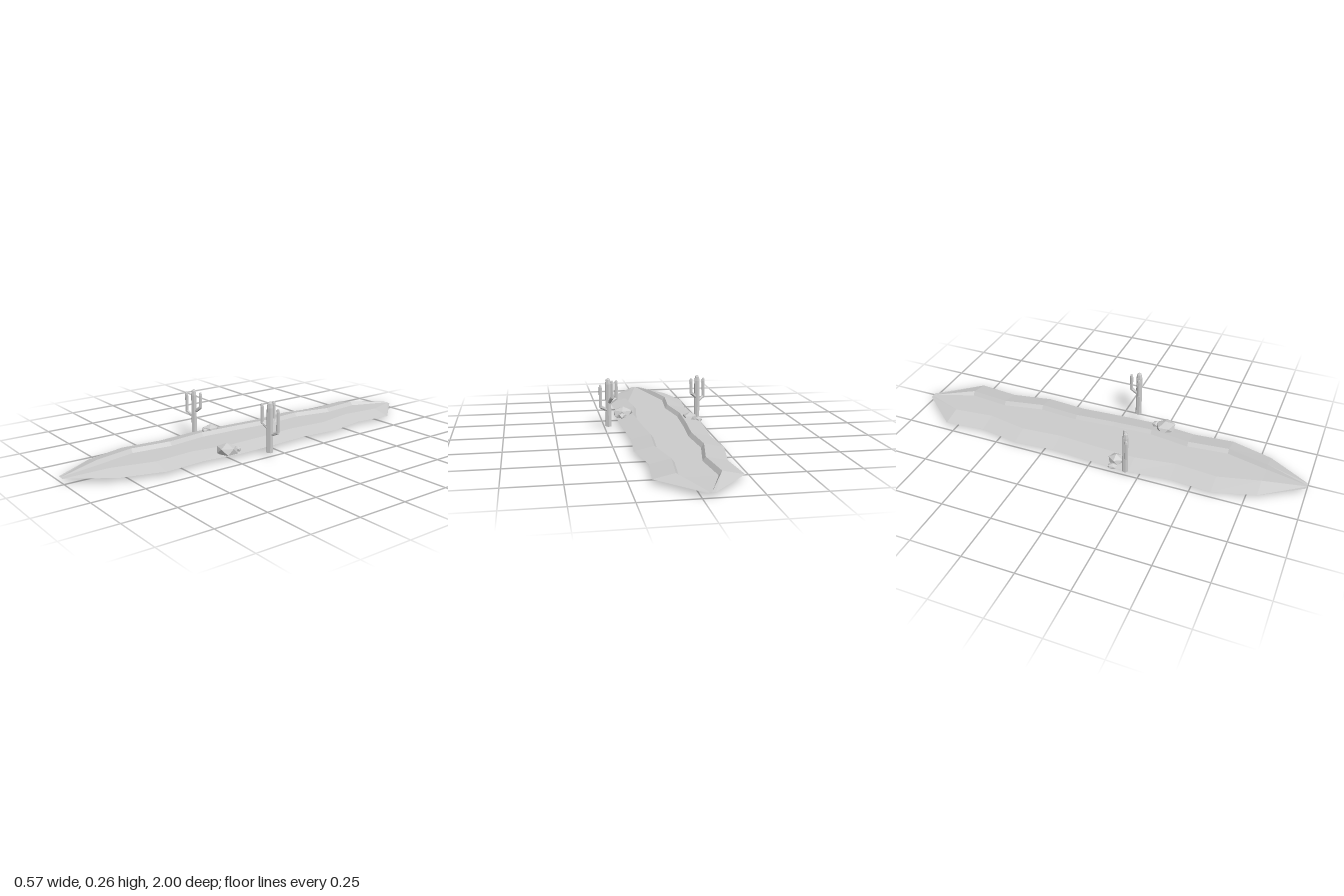
import * as THREE from 'three';

const stone = new THREE.MeshStandardMaterial({ color: 0xcccccc, flatShading: true, side: THREE.DoubleSide });
stone.name = 'pale grey';

function add(parent, name, geometry) {
  const mesh = new THREE.Mesh(geometry, stone);
  mesh.name = name;
  parent.add(mesh);
  return mesh;
}

// Ribbon of quads between two rows of points, running along +z
function ribbon(a, b) {
  const pos = [];
  for (let i = 0; i < a.length - 1; i++) {
    for (const p of [a[i], a[i + 1], b[i + 1], a[i], b[i + 1], b[i]]) pos.push(...p);
  }
  const g = new THREE.BufferGeometry();
  g.setAttribute('position', new THREE.Float32BufferAttribute(pos, 3));
  g.computeVertexNormals();
  return g;
}

// Dry wash: flat bed, short inner walls and sloping banks
function makeWash() {
  const wash = new THREE.Group();
  wash.name = 'dryWash';
  const mid = -0.032;
  const crest = [0.004, 0.094, 0.074, 0.113, 0.098, 0.113, 0.122, 0.094, 0.113, 0.064, 0.004];
  const outer = [0.019, 0.19, 0.17, 0.206, 0.19, 0.203, 0.21, 0.19, 0.206, 0.148, 0.019];
  const row = (side, widths, y, inset = 0) => widths.map((w, i) => {
    const end = i === 0 || i === 10;
    return [mid + side * Math.max(w - inset, 0.001), end ? 0.022 : y, -1 + i * 0.2];
  });
  const bedL = row(-1, crest, 0.021, 0.014), bedR = row(1, crest, 0.021, 0.014);
  const topL = row(-1, crest, 0.04), topR = row(1, crest, 0.04);
  add(wash, 'bed', ribbon(bedL, bedR));
  add(wash, 'rightWall', ribbon(topL, bedL));
  add(wash, 'leftWall', ribbon(bedR, topR));
  add(wash, 'rightBank', ribbon(row(-1, outer, 0.019), topL));
  add(wash, 'leftBank', ribbon(topR, row(1, outer, 0.019)));
  return wash;
}

// Six-sided upright stem with a tapered cap
function stem(r, y0, y1, cap) {
  const pts = [[0, y0], [r, y0], [r, y1 - cap], [r * 0.75, y1 - cap * 0.25], [r * 0.35, y1], [0, y1]];
  return new THREE.LatheGeometry(pts.map(p => new THREE.Vector2(...p)), 6);
}

// Cactus: trunk plus arms given as [dx, dz, joint y, elbow y, tip y]
function makeCactus(x, z, r, base, top, arms) {
  const cactus = new THREE.Group();
  cactus.name = 'cactus';
  cactus.position.set(x, 0, z);
  add(cactus, 'trunk', stem(r, base, top, 0.028));
  for (const [dx, dz, joint, elbow, tip] of arms) {
    const ar = 0.0088;
    const arm = add(cactus, 'arm', stem(ar, elbow - 0.003, tip, 0.016));
    arm.position.set(dx, 0, dz);
    const from = new THREE.Vector3(dx * 0.2, joint - 0.002, dz * 0.2);
    const to = new THREE.Vector3(dx, elbow, dz);
    const dir = to.clone().sub(from);
    const g = new THREE.CylinderGeometry(ar, ar * 0.9, dir.length(), 6);
    const link = add(cactus, 'armJoint', g);
    link.position.copy(from).add(to).multiplyScalar(0.5);
    link.quaternion.setFromUnitVectors(new THREE.Vector3(0, 1, 0), dir.normalize());
  }
  return cactus;
}

// Faceted boulder: icosahedron with a vertex up, gently dented
function makeRock(x, y, z, w, h, d, turn) {
  const g = new THREE.IcosahedronGeometry(1, 0);
  g.rotateX(-1.0172);
  const p = g.attributes.position;
  for (let i = 0; i < p.count; i++) {
    const a = Math.round(p.getX(i) * 10), b = Math.round(p.getY(i) * 10), c = Math.round(p.getZ(i) * 10);
    const k = 1 + 0.1 * Math.sin(a * 1.3 + b * 2.1 + c * 0.7 + turn);
    p.setXYZ(i, p.getX(i) * k, p.getY(i), p.getZ(i) * k);
  }
  g.rotateY(turn);
  g.scale(w / 2, h / 2, d / 2);
  g.computeVertexNormals();
  g.translate(x, y, z);
  return g;
}

export function createModel() {
  const model = new THREE.Group();
  model.name = 'desertWash';
  model.add(makeWash());

  model.add(makeCactus(-0.241, 0.185, 0.0145, 0.019, 0.24, [
    [-0.037, 0.018, 0.105, 0.125, 0.223],
    [0.035, -0.017, 0.13, 0.152, 0.229],
  ]));
  model.add(makeCactus(0.234, 0.077, 0.016, 0.016, 0.26, [
    [-0.042, 0.013, 0.135, 0.155, 0.247],
    [0.04, -0.016, 0.104, 0.12, 0.232],
    [-0.016, -0.036, 0.14, 0.17, 0.254],
  ]));

  const rocks = new THREE.Group();
  rocks.name = 'rocks';
  model.add(rocks);
  const list = [
    [0.138, 0.04, 0.255, 0.118, 0.065, 0.105, 0.4],
    [0.15, 0.035, 0.202, 0.045, 0.03, 0.04, 1.1],
    [-0.19, 0.031, 0.12, 0.082, 0.062, 0.09, 0.9],
    [-0.234, 0.023, 0.118, 0.045, 0.028, 0.055, 0.2],
    [-0.18, 0.035, 0.162, 0.042, 0.026, 0.032, 1.6],
  ];
  for (const r of list) add(rocks, 'rock', makeRock(...r));
  return model;
}
